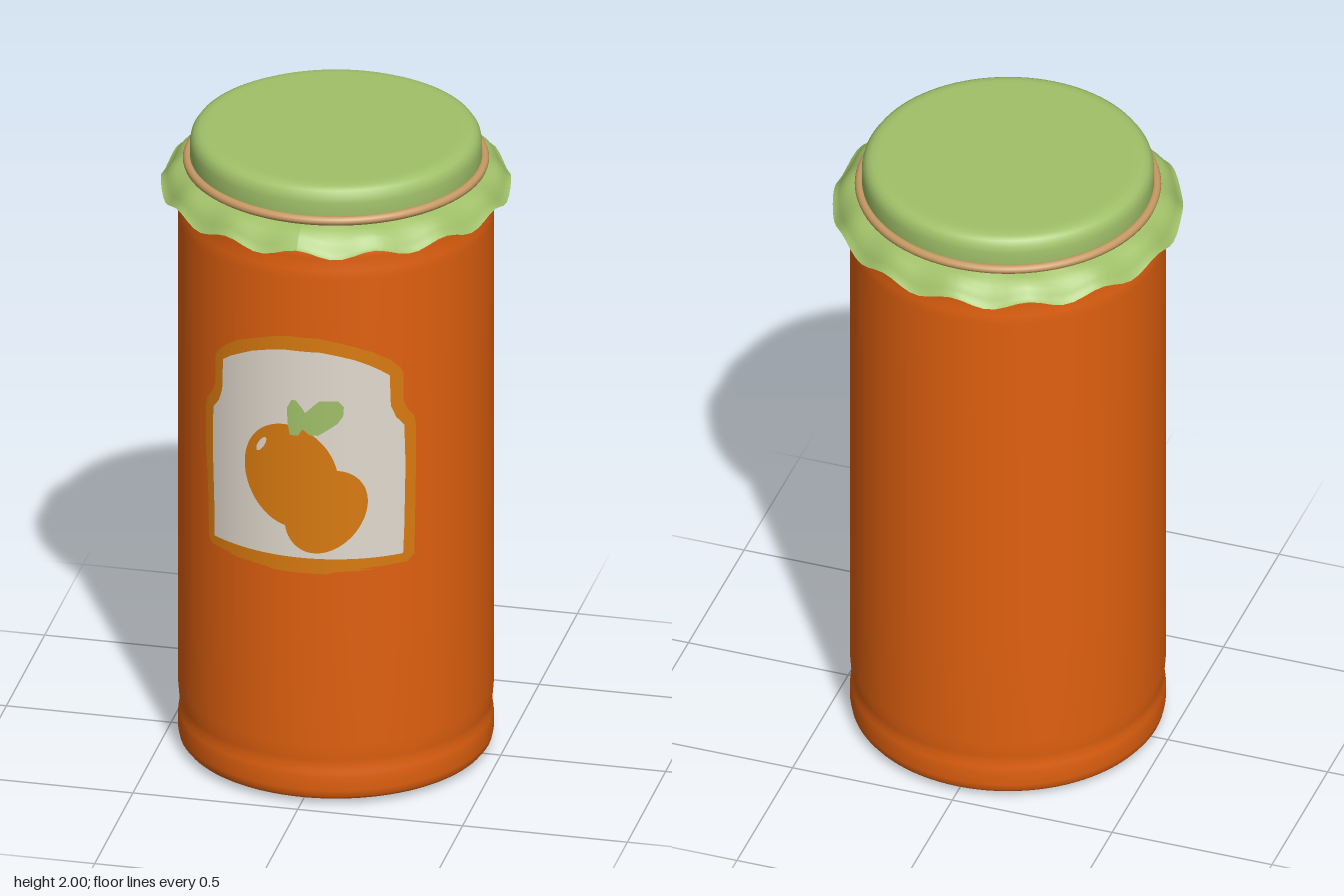
import * as THREE from 'three';

const SEG = 96;

function material(name, color) {
  const m = new THREE.MeshStandardMaterial({ color });
  m.name = name;
  return m;
}

// Turned part from [radius, y] pairs, listed bottom to top
function lathe(name, profile, mat) {
  const pts = profile.map(([r, y]) => new THREE.Vector2(r, y));
  const mesh = new THREE.Mesh(new THREE.LatheGeometry(pts, SEG), mat);
  mesh.name = name;
  return mesh;
}

// Thin sticker wrapped on a cylinder, from [y, left, right] rows, listed top to bottom
function sticker(name, rows, radius, mat) {
  const cols = 24, pos = [], nor = [], idx = [];
  rows.forEach(([y, x0, x1], j) => {
    for (let i = 0; i <= cols; i++) {
      const x = x0 + (x1 - x0) * i / cols;
      const z = Math.sqrt(radius * radius - x * x);
      pos.push(x, y, z);
      nor.push(x / radius, 0, z / radius);
      if (j && i) {
        const d = j * (cols + 1) + i, b = d - cols - 1;
        idx.push(b - 1, d - 1, b, b, d - 1, d);
      }
    }
  });
  const g = new THREE.BufferGeometry();
  g.setAttribute('position', new THREE.Float32BufferAttribute(pos, 3));
  g.setAttribute('normal', new THREE.Float32BufferAttribute(nor, 3));
  g.setIndex(idx);
  const mesh = new THREE.Mesh(g, mat);
  mesh.name = name;
  return mesh;
}

// Rows of an ellipse; lean shifts the upper half sideways
function ellipse(cx, cy, rx, ry, lean = 0) {
  return Array.from({ length: 33 }, (_, i) => {
    const a = Math.PI * i / 32, w = rx * Math.sin(a), c = cx + lean * Math.cos(a);
    return [cy + ry * Math.cos(a), c - w, c + w];
  });
}

export function createModel() {
  const jar = new THREE.Group();
  jar.name = 'jamJar';
  const orange = material('jam orange', 0xe0600f);
  const green = material('cloth green', 0xa1c169);
  green.side = THREE.DoubleSide;
  const tan = material('band tan', 0xc89a64);
  const amber = material('label amber', 0xd97b10);
  const cream = material('label cream', 0xe2dace);

  // Jar body with a rounded heel, a faint groove and a shoulder
  jar.add(lathe('body', [
    [0.44, 0.015], [0.455, 0.02], [0.463, 0.03], [0.467, 0.05], [0.467, 0.09], [0.465, 0.11],
    [0.461, 0.13], [0.463, 0.15], [0.467, 0.2], [0.467, 0.6], [0.467, 1.2], [0.467, 1.72],
    [0.465, 1.75], [0.461, 1.77], [0.462, 1.79], [0.461, 1.81], [0.455, 1.828],
    [0.44, 1.842], [0.42, 1.85], [0.42, 1.9],
  ], orange));

  // Underside with a recessed centre
  jar.add(lathe('base', [
    [0, 0.012], [0.33, 0.012], [0.34, 0.01], [0.355, 0.002], [0.37, 0],
    [0.385, 0.002], [0.42, 0.01], [0.442, 0.017],
  ], green));

  // Cloth-covered lid
  jar.add(lathe('lid', [
    [0.43, 1.885], [0.432, 1.91], [0.432, 1.93], [0.432, 1.955], [0.428, 1.975],
    [0.418, 1.99], [0.403, 1.998], [0.385, 2], [0.37, 2], [0, 2],
  ], green));

  // Flared cloth skirt with a rippled hem
  const skirt = lathe('clothSkirt', [
    [0.518, 1.823], [0.508, 1.83], [0.499, 1.843], [0.489, 1.858],
    [0.475, 1.871], [0.456, 1.882], [0.43, 1.89],
  ], green);
  const p = skirt.geometry.attributes.position;
  for (let i = 0; i < p.count; i++) {
    const x = p.getX(i), z = p.getZ(i);
    const t = (Math.hypot(x, z) - 0.43) / 0.088;
    p.setY(i, p.getY(i) + 0.013 * t * Math.cos(14 * Math.atan2(x, z)));
  }
  skirt.geometry.computeVertexNormals();
  jar.add(skirt);

  // Band tied round the lid
  const band = new THREE.Mesh(new THREE.TorusGeometry(0.439, 0.014, 10, SEG), tan);
  band.name = 'tieBand';
  band.rotation.x = Math.PI / 2;
  band.position.y = 1.902;
  jar.add(band);

  // Jar-shaped label with its border
  const label = new THREE.Group();
  label.name = 'label';
  label.add(sticker('labelBorder', [
    [1.53, -0.03, 0.05], [1.52, -0.09, 0.1], [1.5, -0.15, 0.165], [1.48, -0.2, 0.21],
    [1.45, -0.24, 0.255], [1.42, -0.268, 0.282], [1.4, -0.277, 0.29], [1.31, -0.277, 0.29],
    [1.28, -0.288, 0.3], [1.25, -0.308, 0.318], [1.22, -0.313, 0.322], [1.1, -0.313, 0.322],
    [0.95, -0.305, 0.32], [0.8, -0.302, 0.318], [0.78, -0.29, 0.3], [0.77, -0.2, 0.2],
    [0.76, -0.08, 0.08],
  ], 0.469, amber));
  label.add(sticker('labelPanel', [
    [1.485, -0.05, 0.06], [1.475, -0.1, 0.11], [1.46, -0.15, 0.16], [1.44, -0.19, 0.2],
    [1.42, -0.225, 0.23], [1.4, -0.25, 0.255], [1.3, -0.253, 0.258], [1.26, -0.265, 0.272],
    [1.23, -0.285, 0.293], [1.1, -0.287, 0.296], [0.9, -0.281, 0.293], [0.81, -0.28, 0.29],
  ], 0.471, cream));

  // Two fruits, their leaves and a highlight
  label.add(sticker('largeFruit', ellipse(-0.03, 1.075, 0.144, 0.167, -0.015), 0.473, amber));
  label.add(sticker('smallFruit', ellipse(0.075, 0.965, 0.118, 0.136, 0.03), 0.474, amber));
  label.add(sticker('smallLeaf', [
    [1.325, -0.025, -0.012], [1.3, -0.038, 0.008], [1.27, -0.038, 0.025],
    [1.24, -0.036, 0.012], [1.21, -0.03, -0.005],
  ], 0.475, green));
  label.add(sticker('largeLeaf', [
    [1.328, 0.06, 0.115], [1.31, 0.04, 0.13], [1.28, 0.01, 0.128],
    [1.255, 0, 0.112], [1.235, 0.005, 0.085], [1.215, 0.03, 0.055],
  ], 0.475, green));
  label.add(sticker('highlight', ellipse(-0.12, 1.165, 0.011, 0.024, 0.012), 0.475, cream));
  jar.add(label);

  return jar;
}
